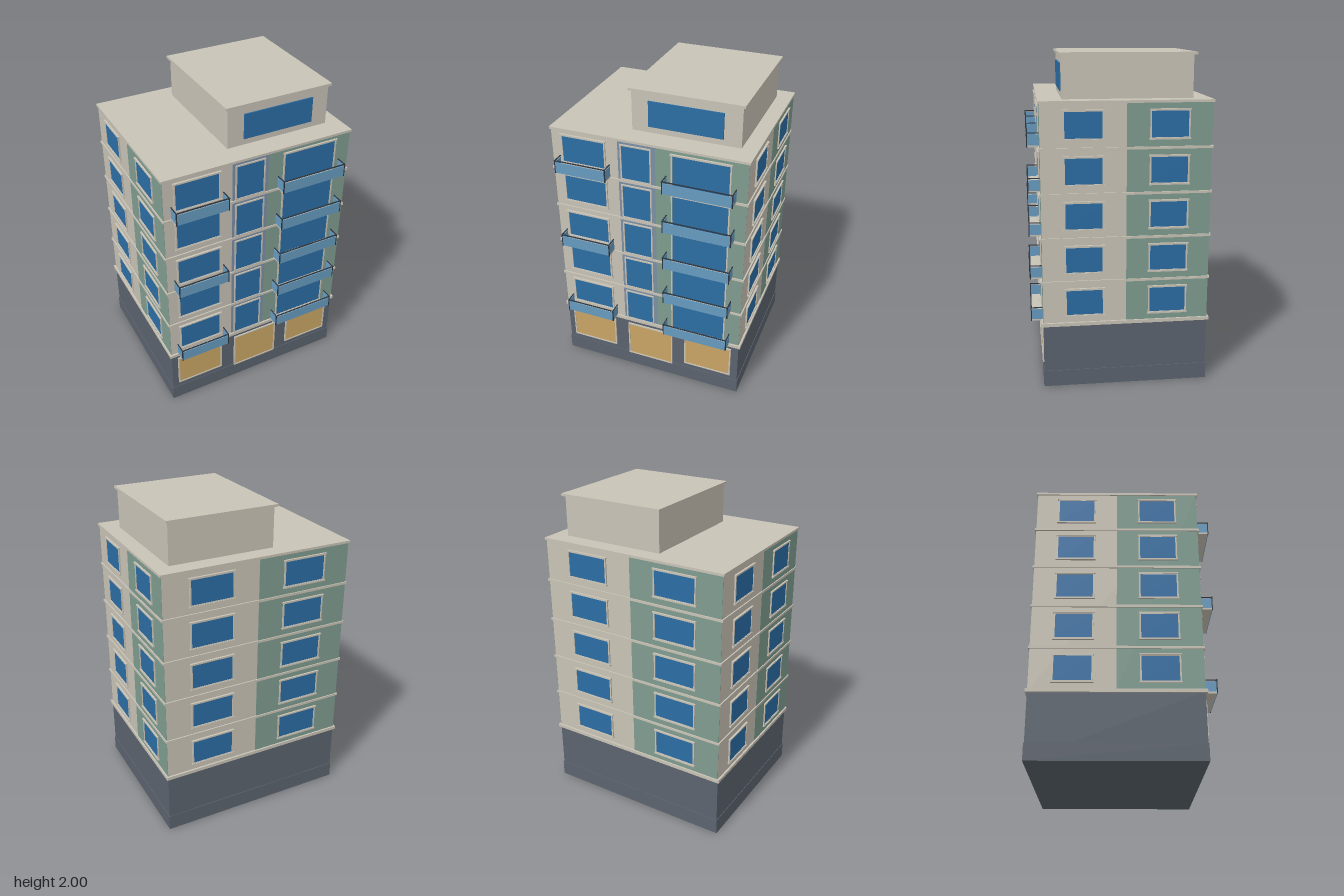
import * as THREE from 'three';

const material = (name, color, side = THREE.FrontSide) => {
  const m = new THREE.MeshStandardMaterial({ color, side });
  m.name = name;
  return m;
};

export function createModel() {
  const beige = material('beige plaster', 0xc9c3b6);
  const green = material('green cladding', 0x7f9c8f);
  const slate = material('slate base', 0x5b636e);
  const blue = material('window blue', 0x2b6da4);
  const paleBlue = material('balcony blue', 0x689bc0);
  const blueGrey = material('blue grey cladding', 0x7d90a6);
  const tan = material('shop window tan', 0xc9a565);
  const dark = material('dark rail', 0x2c353f);

  const W = 1.22, D = 0.997, ZC = -0.0315;   // body width, depth, centre in z
  const BASE = 0.4, STOREY = 0.266, STOREYS = 5;
  const TOP = BASE + STOREY * STOREYS;

  const root = new THREE.Group();
  root.name = 'apartmentBuilding';

  // Box given by its limits on each axis
  const box = (parent, name, mat, x0, x1, y0, y1, z0, z1) => {
    const mesh = new THREE.Mesh(new THREE.BoxGeometry(x1 - x0, y1 - y0, z1 - z0), mat);
    mesh.position.set((x0 + x1) / 2, (y0 + y1) / 2, (z0 + z1) / 2);
    mesh.name = name;
    parent.add(mesh);
    return mesh;
  };
  // Box following the building outline, grown by a margin
  const layer = (name, mat, y0, y1, grow) =>
    box(root, name, mat, -W / 2 - grow, W / 2 + grow, y0, y1, ZC - D / 2 - grow, ZC + D / 2 + grow);

  // Facade group: local x runs along the wall, local z points outward
  const facade = (name, x, z, turn) => {
    const g = new THREE.Group();
    g.name = name;
    g.position.set(x, 0, z);
    g.rotation.y = turn;
    root.add(g);
    return g;
  };

  const rect = (target, x0, x1, y0, y1) => {
    target.moveTo(x0, y0);
    target.lineTo(x1, y0);
    target.lineTo(x1, y1);
    target.lineTo(x0, y1);
    target.closePath();
    return target;
  };

  // Framed window, optionally with a projecting head and sill
  const windowUnit = (parent, name, glassMat, cx, w, y0, y1, trim = true) => {
    const g = new THREE.Group();
    g.name = name;
    parent.add(g);
    const x0 = cx - w / 2, x1 = cx + w / 2, f = 0.009;
    box(g, 'pane', glassMat, x0, x1, y0, y1, 0, 0.005);
    const shape = rect(new THREE.Shape(), x0 - f, x1 + f, y0 - f, y1 + f);
    shape.holes.push(rect(new THREE.Path(), x0, x1, y0, y1));
    const frame = new THREE.Mesh(new THREE.ExtrudeGeometry(shape, { depth: 0.009, bevelEnabled: false }), beige);
    frame.name = 'frame';
    g.add(frame);
    if (trim) {
      box(g, 'head', beige, x0 - 0.013, x1 + 0.013, y1 + 0.004, y1 + 0.013, 0, 0.013);
      box(g, 'sill', beige, x0 - 0.013, x1 + 0.013, y0 - 0.013, y0 - 0.004, 0, 0.013);
    }
  };

  // Balcony: floor, three panels, rail and corner posts
  const balcony = (parent, x0, x1, y) => {
    const g = new THREE.Group();
    g.name = 'balcony';
    parent.add(g);
    const d = 0.073, h = 0.085, t = 0.004;
    box(g, 'balconyFloor', beige, x0, x1, y, y + 0.01, 0, d - t);
    box(g, 'frontPanel', paleBlue, x0, x1, y + 0.003, y + h - 0.012, d - t, d);
    box(g, 'frontRail', dark, x0 - 0.002, x1 + 0.002, y + h - 0.005, y + h, d - 0.006, d + 0.001);
    for (const [a, b] of [[x0, x0 + t], [x1 - t, x1]]) {
      box(g, 'sidePanel', paleBlue, a, b, y + 0.01, y + h - 0.012, 0, d - t);
      box(g, 'sideRail', dark, a - 0.001, b + 0.001, y + h - 0.005, y + h, 0, d - 0.006);
      box(g, 'cornerPost', dark, a - 0.001, b + 0.001, y, y + h - 0.005, d - 0.005, d + 0.001);
    }
  };

  // Main masses
  layer('groundFloor', slate, 0, BASE, 0);
  layer('plinth', slate, 0, 0.1, 0.004);
  layer('upperWalls', beige, BASE, TOP, 0);
  layer('baseCornice', beige, 0.39, 0.411, 0.012);
  for (let i = 1; i <= STOREYS; i++) {
    const y = BASE + i * STOREY;
    layer(i === STOREYS ? 'roofSlab' : 'floorBand', beige, y - 0.008, y + 0.007, 0.008);
  }

  const front = facade('frontFacade', 0, ZC + D / 2, 0);
  const back = facade('backFacade', 0, ZC - D / 2, Math.PI);
  const leftSide = facade('leftFacade', W / 2, ZC, Math.PI / 2);
  const rightSide = facade('rightFacade', -W / 2, ZC, -Math.PI / 2);

  // Coloured cladding, half of each wall
  const clad = (parent, mat, x0, x1) => box(parent, 'cladding', mat, x0, x1, BASE, TOP, 0, 0.002);
  clad(front, green, 0.055, W / 2);
  clad(front, blueGrey, -0.18, 0.055);
  clad(back, green, 0, W / 2);
  clad(leftSide, green, 0, D / 2);
  clad(rightSide, green, 0, D / 2);

  // Storeys
  for (let i = 0; i < STOREYS; i++) {
    const y = BASE + i * STOREY;
    windowUnit(front, 'bayWindow', blue, -0.402, 0.27, y + 0.058, y + 0.225);
    windowUnit(front, 'stairWindow', blue, -0.066, 0.176, y + 0.018, y + 0.232, false);
    windowUnit(front, 'wideWindow', blue, 0.333, 0.342, y + 0.03, y + 0.225);
    balcony(front, 0.12, 0.545, y + 0.004);
    if (i % 2 === 0) balcony(front, -0.565, -0.235, y + 0.004);
    for (const s of [-1, 1]) {
      windowUnit(back, 'backWindow', blue, s * 0.305, 0.264, y + 0.06, y + 0.212);
      windowUnit(leftSide, 'sideWindow', blue, s * 0.25, 0.216, y + 0.06, y + 0.212);
      windowUnit(rightSide, 'sideWindow', blue, s * 0.25, 0.216, y + 0.06, y + 0.212);
    }
  }

  // Shop windows and entrance
  windowUnit(front, 'shopWindow', tan, -0.41, 0.3, 0.145, 0.353, false);
  windowUnit(front, 'entrance', tan, 0, 0.298, 0.106, 0.353, false);
  windowUnit(front, 'shopWindow', tan, 0.403, 0.3, 0.145, 0.353, false);

  // Penthouse
  box(root, 'penthouseWalls', beige, -0.143, 0.522, TOP, 1.987, -0.432, 0.333);
  box(root, 'penthouseRoof', beige, -0.158, 0.537, 1.985, 2, -0.452, 0.347);
  box(root, 'penthouseWindow', blue, -0.038, 0.416, 1.776, 1.935, 0.333, 0.341);

  return root;
}
